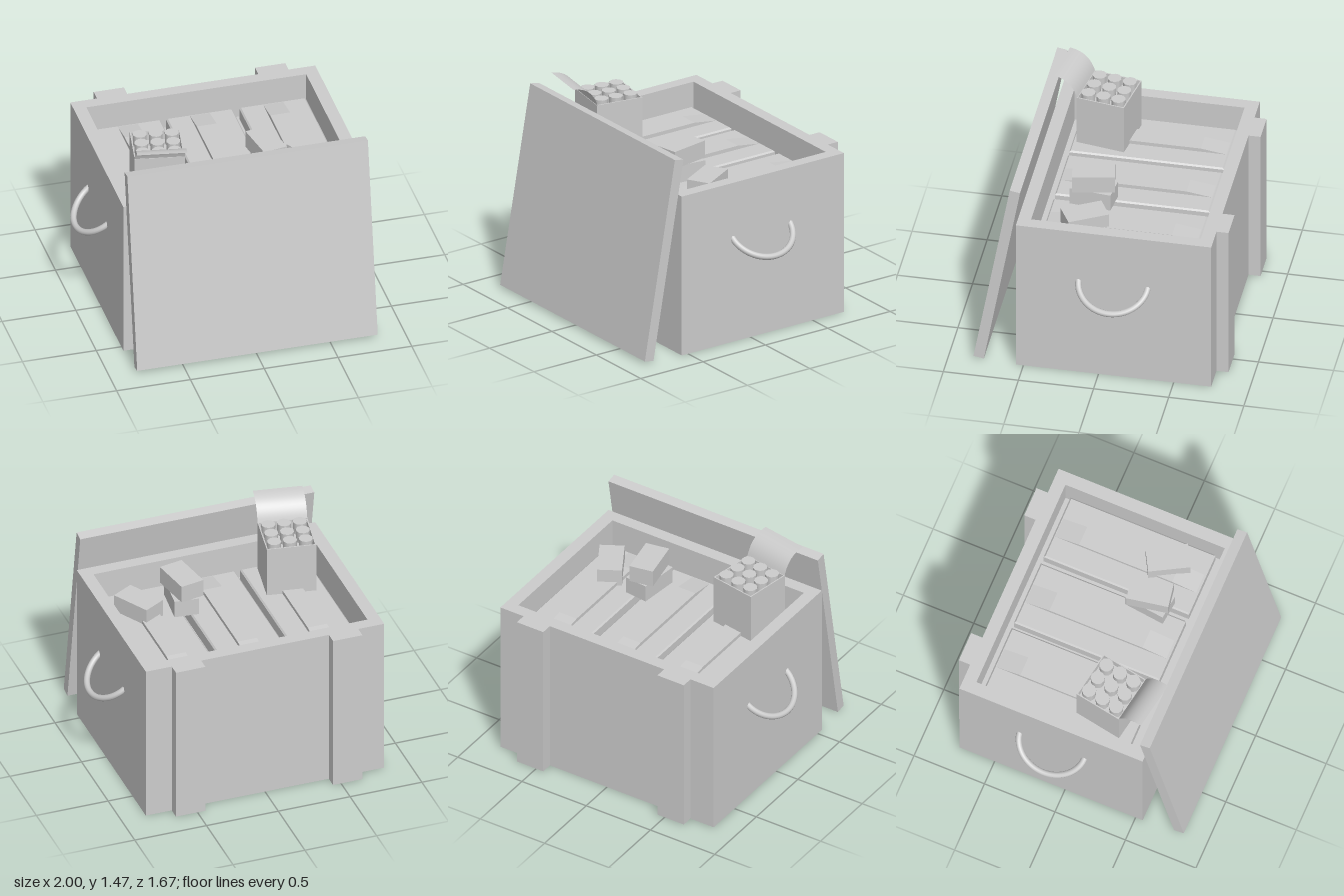
import * as THREE from 'three';

const grey = new THREE.MeshStandardMaterial({ color: 0xcccccc, side: THREE.DoubleSide });

function add(parent, name, geometry, x = 0, y = 0, z = 0) {
  const mesh = new THREE.Mesh(geometry, grey);
  mesh.name = name;
  mesh.position.set(x, y, z);
  parent.add(mesh);
  return mesh;
}

const box = (w, h, d) => new THREE.BoxGeometry(w, h, d);

// Rectangular outline, usable as a shape or as a hole
function rect(PathType, w, d) {
  const p = new PathType();
  p.moveTo(-w / 2, -d / 2);
  p.lineTo(w / 2, -d / 2);
  p.lineTo(w / 2, d / 2);
  p.lineTo(-w / 2, d / 2);
  p.closePath();
  return p;
}

// Upright prism with its base on y = 0; wall > 0 makes it a hollow frame
function prism(w, d, h, wall = 0, bevel = 0) {
  const shape = rect(THREE.Shape, w - 2 * bevel, d - 2 * bevel);
  if (wall) shape.holes.push(rect(THREE.Path, w - 2 * wall, d - 2 * wall));
  const g = new THREE.ExtrudeGeometry(shape, {
    depth: h - 2 * bevel, bevelEnabled: bevel > 0,
    bevelSize: bevel, bevelThickness: bevel, bevelSegments: 1
  });
  g.translate(0, 0, bevel);
  return g.rotateX(-Math.PI / 2);
}

const BED = 0.97; // top of the packed slabs

function buildCrate(root) {
  const crate = new THREE.Group();
  crate.name = 'crate';
  root.add(crate);
  add(crate, 'crateWalls', prism(1.66, 1.3, 1.12, 0.085), 0, 0, -0.1);
  add(crate, 'crateFloor', box(1.5, 0.87, 1.14), 0, 0.435, -0.1);
  for (const s of [-1, 1]) {
    add(crate, 'backBatten', box(0.205, 1.12, 0.085), s * 0.547, 0.56, -0.7875);
    // Drooping rope handle
    const pts = [];
    for (let i = 0; i <= 12; i++) {
      const t = (i / 12) * Math.PI, k = Math.sin(t);
      pts.push(new THREE.Vector3(s * (0.81 + 0.168 * k), 0.735 - 0.135 * k, -0.095 + 0.232 * Math.cos(t)));
    }
    add(crate, 'handle', new THREE.TubeGeometry(new THREE.CatmullRomCurve3(pts), 32, 0.021, 10));
  }
  // Lid leaning on the front
  add(crate, 'leaningLid', box(1.63, 1.385, 0.07), 0, 0.695, 0.68).rotation.x = -0.175;
}

function buildSlabs(root) {
  // Raised strap with sloping ends, profile drawn along z
  const profile = new THREE.Shape([[-0.5, 0], [0.5, 0], [0.33, 0.025], [-0.33, 0.025]]
    .map(([z, y]) => new THREE.Vector2(z, y)));
  const strap = new THREE.ExtrudeGeometry(profile, { depth: 0.135, bevelEnabled: false });
  strap.translate(0, 0, -0.0675).rotateY(Math.PI / 2);
  for (const x of [-0.48, 0.008, 0.505]) {
    add(root, 'packedSlab', prism(0.45, 1.03, 0.1, 0, 0.01), x, BED - 0.1, -0.108);
    add(root, 'slabStrap', strap, x, BED, -0.108);
  }
}

function buildSmallBoxes(root) {
  for (const [x, y, turn] of [[0.25, 0, -0.11], [0.25, 0.12, 0.18], [0.55, 0, 0.51]]) {
    add(root, 'smallBox', box(0.165, 0.12, 0.28), x, BED + 0.06 + y, 0.145).rotation.y = turn;
  }
}

function buildPack(root) {
  const pack = new THREE.Group();
  pack.name = 'openPack';
  pack.position.set(-0.5, BED, 0.188);
  pack.rotation.y = -0.17;
  root.add(pack);
  add(pack, 'packWalls', prism(0.33, 0.33, 0.355, 0.008));
  add(pack, 'packFloor', box(0.32, 0.29, 0.32), 0, 0.145, 0);
  // Tubes standing in the pack
  for (let i = -1; i <= 1; i++) {
    for (let j = -1; j <= 1; j++) {
      add(pack, 'tube', new THREE.CylinderGeometry(0.047, 0.042, 0.16, 10), i * 0.105, 0.295, j * 0.105);
    }
  }
  // Flap curling forward from the front edge
  const flap = new THREE.PlaneGeometry(0.33, 1, 1, 10);
  const curve = new THREE.QuadraticBezierCurve(
    new THREE.Vector2(0.16, 0.35), new THREE.Vector2(0.2, 0.49), new THREE.Vector2(0.335, 0.495));
  const pos = flap.attributes.position;
  for (let i = 0; i < pos.count; i++) {
    const p = curve.getPoint(pos.getY(i) + 0.5);
    pos.setXYZ(i, pos.getX(i), p.y, p.x);
  }
  flap.computeVertexNormals();
  add(pack, 'packFlap', flap);
}

export function createModel() {
  const root = new THREE.Group();
  root.name = 'supplyCrate';
  buildCrate(root);
  buildSlabs(root);
  buildSmallBoxes(root);
  buildPack(root);
  return root;
}
